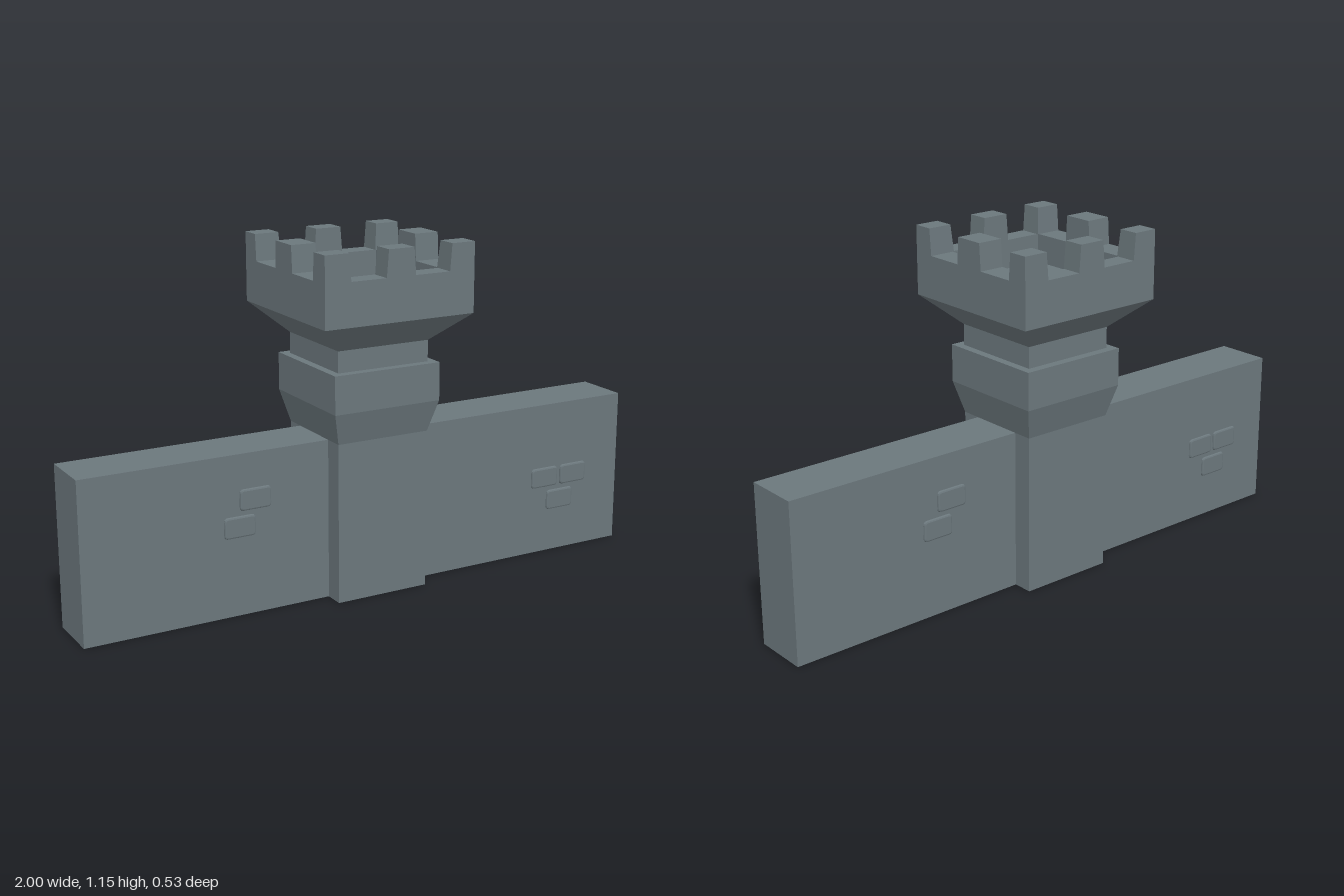
import * as THREE from 'three';

// Surface through rectangular sections [x0, x1, z0, z1, y]; flat faceted, optionally capped on top
function loft(sections, cap = true) {
  const pos = [];
  const ring = ([x0, x1, z0, z1, y]) => [[x0, y, z1], [x1, y, z1], [x1, y, z0], [x0, y, z0]];
  const quad = (a, b, c, d) => [a, b, c, a, c, d].forEach((p) => pos.push(...p));
  for (let i = 0; i < sections.length - 1; i++) {
    const low = ring(sections[i]);
    const high = ring(sections[i + 1]);
    for (let k = 0; k < 4; k++) {
      const n = (k + 1) % 4;
      quad(low[k], low[n], high[n], high[k]);
    }
  }
  if (cap) quad(...ring(sections[sections.length - 1]));
  const g = new THREE.BufferGeometry();
  g.setAttribute('position', new THREE.Float32BufferAttribute(pos, 3));
  g.computeVertexNormals();
  return g;
}

const centred = (hx, hz, y) => [-hx, hx, -hz, hz, y];

// Raised brick with rounded corners and a soft bevelled rim
function brickGeometry(w, h) {
  const b = 0.006, r = 0.007;
  const x = w / 2 - b, y = h / 2 - b;
  const s = new THREE.Shape();
  s.moveTo(-x + r, -y);
  s.lineTo(x - r, -y);
  s.quadraticCurveTo(x, -y, x, -y + r);
  s.lineTo(x, y - r);
  s.quadraticCurveTo(x, y, x - r, y);
  s.lineTo(-x + r, y);
  s.quadraticCurveTo(-x, y, -x, y - r);
  s.lineTo(-x, -y + r);
  s.quadraticCurveTo(-x, -y, -x + r, -y);
  return new THREE.ExtrudeGeometry(s, {
    depth: 0.002, bevelEnabled: true, bevelThickness: 0.006, bevelSize: b, bevelSegments: 2, curveSegments: 3,
  });
}

export function createModel() {
  const model = new THREE.Group();
  model.name = 'castleWallWithTower';
  const stone = new THREE.MeshStandardMaterial({ color: 0x6b777c, side: THREE.DoubleSide });
  stone.name = 'grey stone';
  const add = (geometry, name, parent = model) => {
    const mesh = new THREE.Mesh(geometry, stone);
    mesh.name = name;
    parent.add(mesh);
    return mesh;
  };

  // Long wall, open underneath
  add(loft([centred(1, 0.094, 0), centred(1, 0.094, 0.53)]), 'wall');

  // Tower: shaft, flared collar, neck, flared head, then down inside the parapet to the floor
  add(loft([
    centred(0.163, 0.161, 0),
    centred(0.163, 0.161, 0.53),
    centred(0.19, 0.19, 0.635),
    centred(0.19, 0.19, 0.76),
    centred(0.163, 0.161, 0.76),
    centred(0.163, 0.161, 0.83),
    centred(0.265, 0.265, 0.925),
    centred(0.265, 0.265, 1.065),
    centred(0.18, 0.195, 1.065),
    centred(0.18, 0.195, 0.97),
  ]), 'tower');

  // Battlements: tapered blocks at the corners and at the middle of each side
  const battlements = new THREE.Group();
  battlements.name = 'battlements';
  model.add(battlements);
  const t = 0.007, low = 1.065, high = 1.152, out = 0.265, inX = 0.175, inZ = 0.19;
  for (const s of [-1, 1]) {
    for (const u of [-1, 1]) {
      const section = (ix, iz, y) => [
        Math.min(s * out, s * ix), Math.max(s * out, s * ix),
        Math.min(u * out, u * iz), Math.max(u * out, u * iz), y,
      ];
      add(loft([section(inX, inZ, low), section(inX + t, inZ + t, high)]), 'cornerMerlon', battlements);
    }
    const front = (hx, y) => [-hx, hx, s > 0 ? 0.195 : -out, s > 0 ? out : -0.195, y];
    const side = (hz, y) => [s > 0 ? 0.18 : -out, s > 0 ? out : -0.18, -hz, hz, y];
    add(loft([front(0.052, low), front(0.045, high)]), s > 0 ? 'frontMerlon' : 'backMerlon', battlements);
    add(loft([side(0.057, low), side(0.051, high)]), s > 0 ? 'leftMerlon' : 'rightMerlon', battlements);
  }

  // Raised bricks, repeated on the back by a half turn
  const brick = brickGeometry(0.108, 0.07);
  const spots = [[-0.477, 0.295], [-0.422, 0.38], [0.687, 0.27], [0.807, 0.27], [0.753, 0.185]];
  for (const name of ['frontBricks', 'backBricks']) {
    const group = new THREE.Group();
    group.name = name;
    if (name === 'backBricks') group.rotation.y = Math.PI;
    for (const [x, y] of spots) add(brick, 'brick', group).position.set(x, y, 0.0935);
    model.add(group);
  }
  return model;
}
